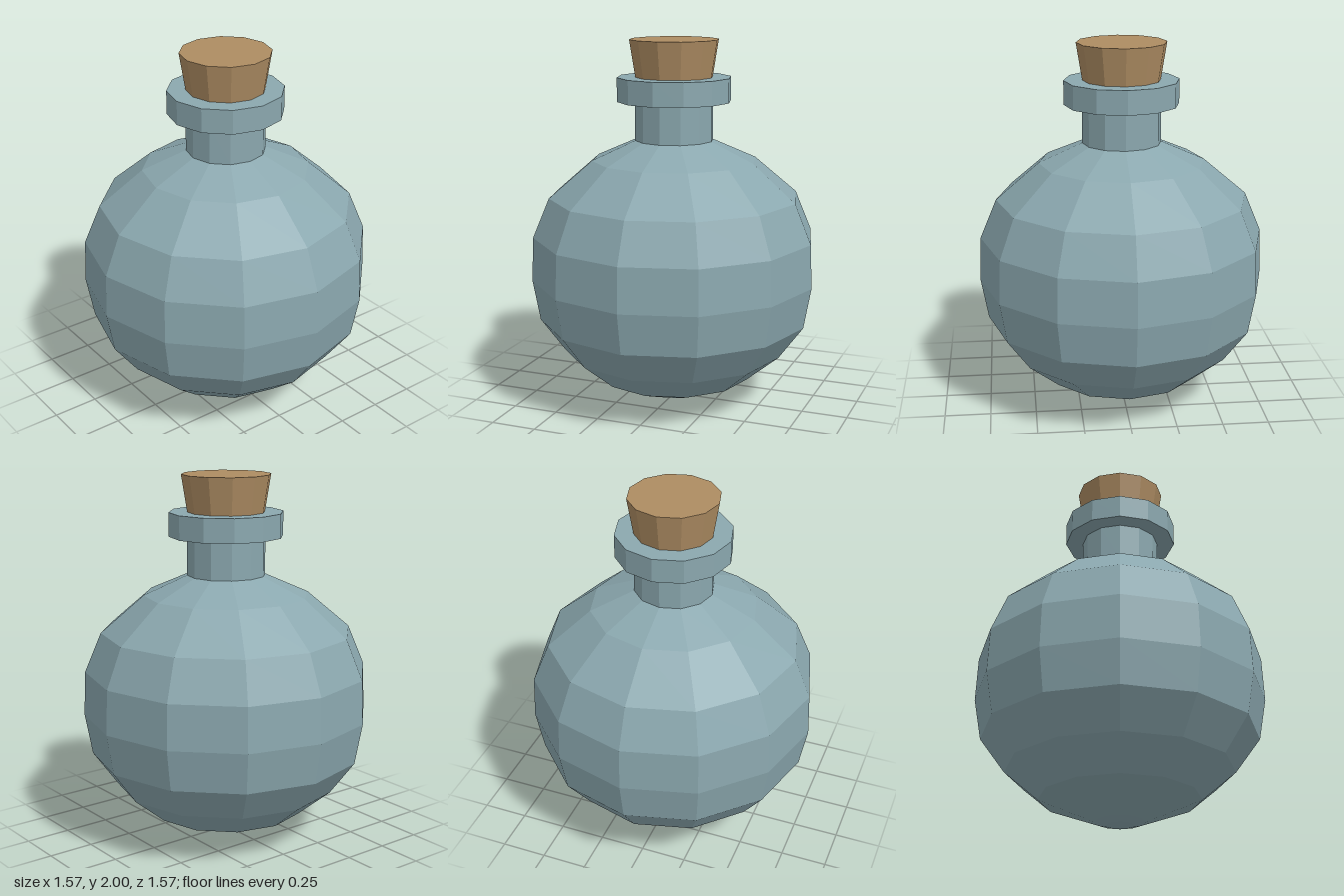
import * as THREE from 'three';

const SIDES = 12;

export function createModel() {
  const group = new THREE.Group();
  group.name = 'corkedFlask';

  const glass = new THREE.MeshStandardMaterial({ color: 0x8ba8af, flatShading: true });
  glass.name = 'blue grey glass';
  const cork = new THREE.MeshStandardMaterial({ color: 0xad8c62, flatShading: true });
  cork.name = 'brown cork';

  // Turns a bottom-to-top profile of [radius, height] into a faceted solid
  const turn = (name, profile, material) => {
    const points = profile.map(([r, y]) => new THREE.Vector2(r, y));
    const mesh = new THREE.Mesh(new THREE.LatheGeometry(points, SIDES), material);
    mesh.name = name;
    group.add(mesh);
  };

  // Round belly with a small foot
  turn('body', [
    [0, 0], [0.07, 0.003], [0.13, 0.02], [0.43, 0.14], [0.61, 0.29], [0.745, 0.475],
    [0.785, 0.70], [0.775, 0.94], [0.685, 1.155], [0.45, 1.355], [0.213, 1.46],
  ], glass);

  // Straight neck
  turn('neck', [[0.213, 1.46], [0.213, 1.67]], glass);

  // Collar around the mouth
  turn('rim', [[0.213, 1.67], [0.31, 1.67], [0.31, 1.80], [0.19, 1.80]], glass);

  // Tapered stopper
  turn('stopper', [[0, 1.70], [0.195, 1.70], [0.21, 1.80], [0.242, 2.0], [0, 2.0]], cork);

  return group;
}
